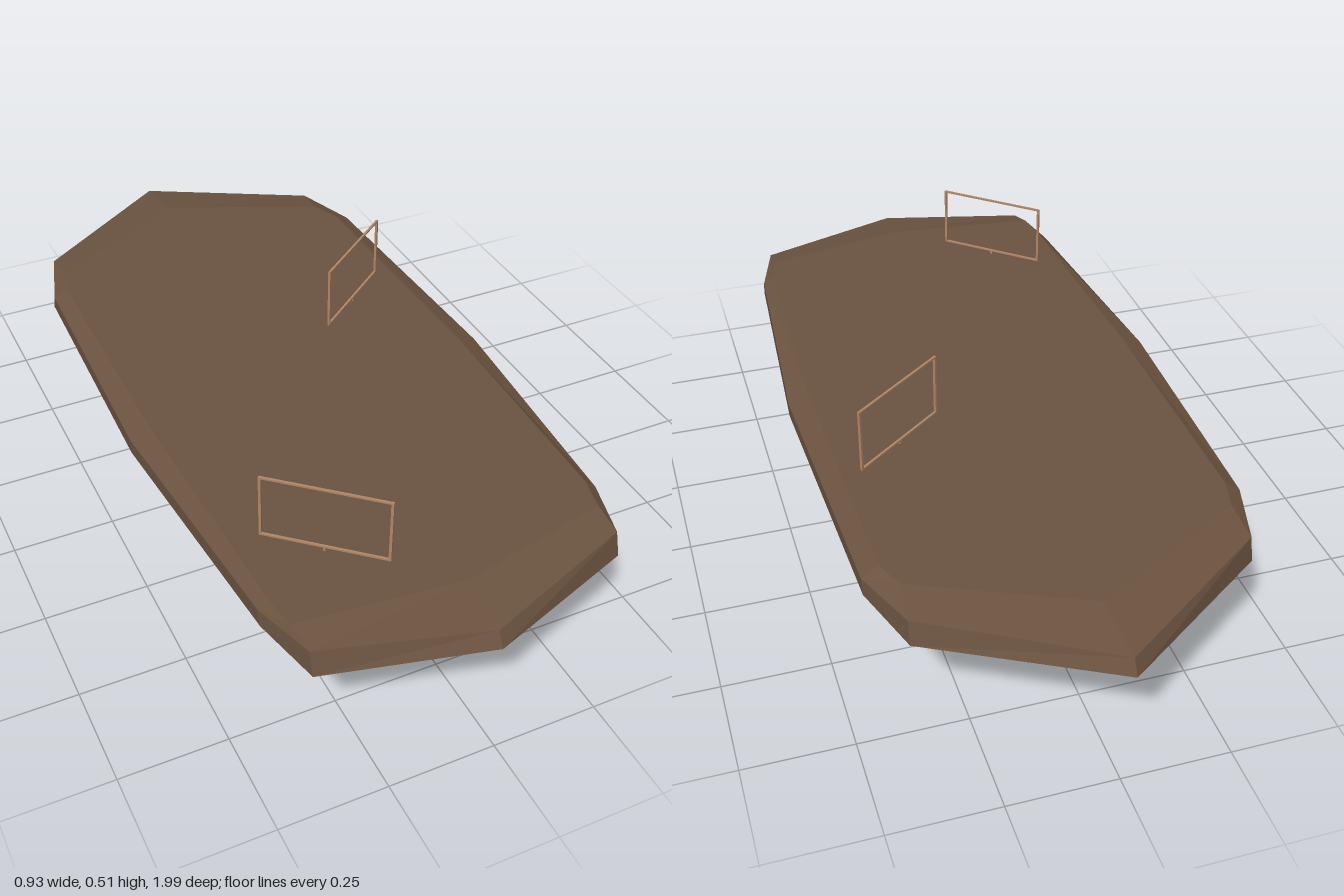
import * as THREE from 'three';

const rockMaterial = new THREE.MeshStandardMaterial({ color: 0x6b5340, flatShading: true });
const frameMaterial = new THREE.MeshStandardMaterial({ color: 0xb08565 });

// Widest outline of the slab, [x, z], clockwise from the back tip
const outline = [
  [-0.02, -1], [0.38, -0.77], [0.44, -0.61], [0.465, 0.08], [0.42, 0.7], [0.375, 0.85],
  [0, 0.99], [-0.37, 0.885], [-0.415, 0.73], [-0.465, 0.1], [-0.445, -0.56], [-0.395, -0.73],
];
// Edge of the flat top
const topEdge = [
  [-0.01, -0.83], [0.37, -0.66], [0.4, -0.59], [0.415, 0.08], [0.395, 0.68], [0.375, 0.76],
  [0, 0.84], [-0.38, 0.8], [-0.39, 0.73], [-0.415, 0.1], [-0.412, -0.54], [-0.39, -0.62],
];
const corners = [1, 5, 7, 11];

// Scaled copy of the outline at one height; corners may dip or rise
const ring = (y, sx, sz, x0 = 0, z0 = 0, cornerShift = 0) => outline.map(([x, z], i) =>
  [x * sx + x0, y + (corners.includes(i) ? cornerShift : 0), z * sz + z0]);

// Closed body from stacked rings, bottom to top
function loft(rings) {
  const n = rings[0].length;
  const points = [];
  const tri = (...corner) => corner.forEach((p) => points.push(...p));
  const middle = (r) => [0, 1, 2].map((k) => r.reduce((sum, p) => sum + p[k], 0) / n);
  const bottom = rings[0], top = rings[rings.length - 1];
  const bottomCentre = middle(bottom), topCentre = middle(top);
  for (let i = 0; i < n; i++) {
    const j = (i + 1) % n;
    for (let k = 0; k + 1 < rings.length; k++) {
      const lo = rings[k], hi = rings[k + 1];
      tri(lo[i], hi[i], lo[j]);
      tri(lo[j], hi[i], hi[j]);
    }
    tri(bottomCentre, bottom[i], bottom[j]);
    tri(topCentre, top[j], top[i]);
  }
  const geometry = new THREE.BufferGeometry();
  geometry.setAttribute('position', new THREE.Float32BufferAttribute(points, 3));
  geometry.computeVertexNormals();
  return geometry;
}

function bar(name, w, h, d, x, y) {
  const mesh = new THREE.Mesh(new THREE.BoxGeometry(w, h, d), frameMaterial);
  mesh.name = name;
  mesh.position.set(x, y, 0);
  return mesh;
}

// Thin upright rectangular frame on a short stub, standing between two floor points
function makeFrame(name, [x1, z1], [x2, z2]) {
  const group = new THREE.Group();
  group.name = name;
  const width = Math.hypot(x2 - x1, z2 - z1);
  const low = 0.348, high = 0.507, t = 0.006;
  for (const side of [-1, 1]) {
    group.add(bar('framePost', t, high - low, t, side * (width - t) / 2, (low + high) / 2));
  }
  group.add(bar('frameBottomBar', width, 0.004, t, 0, low + 0.002));
  group.add(bar('frameTopBar', width, 0.004, t, 0, high - 0.002));
  group.add(bar('frameStub', t, 0.014, t, 0, 0.343));
  group.position.set((x1 + x2) / 2, 0, (z1 + z2) / 2);
  group.rotation.y = -Math.atan2(z2 - z1, x2 - x1);
  return group;
}

export function createModel() {
  const model = new THREE.Group();
  model.name = 'floatingSlab';

  // Faceted slab tapering to a small foot
  const slab = new THREE.Mesh(loft([
    ring(0, 0.11, 0.115, 0, 0.085),
    ring(0.152, 0.535, 0.52, -0.018, 0.07),
    ring(0.285, 1, 1, 0, 0, -0.015),
    ring(0.32, 1, 0.98, 0, 0, 0.005),
    topEdge.map(([x, z]) => [x, 0.34, z]),
  ]), rockMaterial);
  slab.name = 'slab';
  model.add(slab);

  model.add(makeFrame('frontFrame', [-0.333, 0.54], [-0.117, 0.73]));
  model.add(makeFrame('backFrame', [0.138, -0.095], [0.362, -0.27]));
  return model;
}
